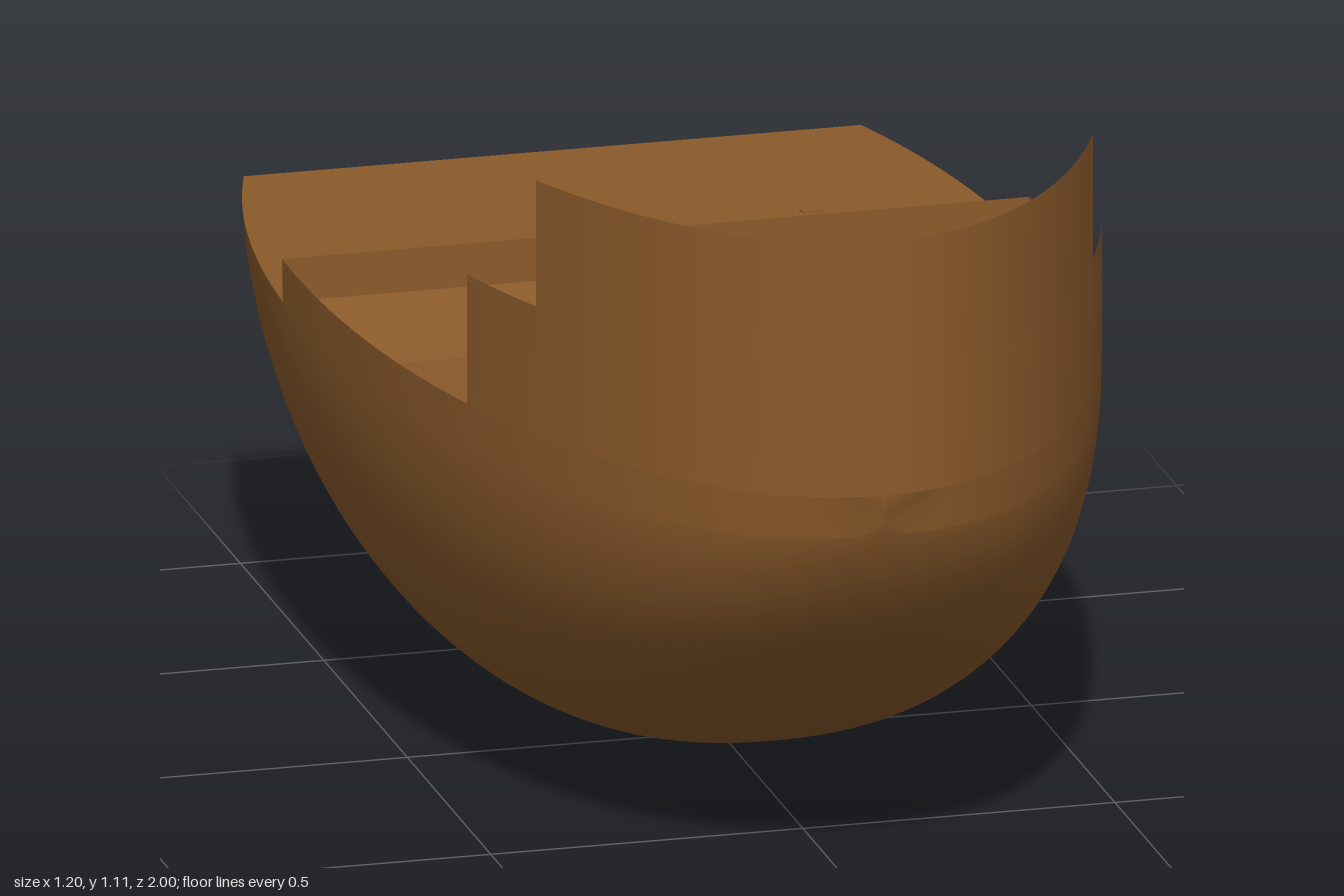
import * as THREE from 'three';

const RIM = 0.705, DECK = 0.635, STEP_Z = -0.38, ROWS = 32, FRONT = 40, REAR = 14;

// Half-width of the rim and depth of the keel at a station z
const rimWidth = z => 0.6 * Math.sqrt(Math.max(0, 1 - ((z + 0.3) / (z > -0.3 ? 1.3 : 1.25)) ** 2));
const depth = z => 0.7 * Math.max(0, 1 - ((z + 0.2) / 1.2) ** 2) ** 0.63;

// Stern profile: z of the transom at height y
const STERN = [[0.14, -0.845], [0.22, -0.855], [0.35, -0.89], [0.51, -1], [0.64, -1]];
function sternZ(y) {
  if (y <= STERN[0][0]) return STERN[0][1];
  for (let i = 1; i < STERN.length; i++) {
    const [y0, z0] = STERN[i - 1], [y1, z1] = STERN[i];
    if (y <= y1) return z0 + (z1 - z0) * (y - y0) / (y1 - y0);
  }
  return -1;
}

// Point on the left half of a section; row 0 is the rim, row 1 deck height, the last row the keel
function sectionPoint(z, row) {
  const d = depth(z), e = 2 / 2.3;
  const t1 = d > 0 ? Math.asin(Math.min(1, (RIM - DECK) / d) ** (1 / e)) : Math.PI / 2;
  const t = row === 0 ? 0 : t1 + (Math.PI / 2 - t1) * (row - 1) / (ROWS - 1);
  return [rimWidth(z) * Math.max(0, Math.cos(t)) ** e, RIM - d * Math.sin(t) ** e, z];
}

// Where a row of the hull meets the transom
function rowEnd(row) {
  let lo = -1, hi = STEP_Z;
  for (let i = 0; i < 40; i++) {
    const mid = (lo + hi) / 2;
    if (mid > sternZ(sectionPoint(mid, row)[1])) hi = mid; else lo = mid;
  }
  return hi;
}

// Surface from a grid of points, with optional skipping of cells
function gridGeometry(grid, skip = () => false) {
  const cols = grid[0].length, index = [];
  for (let i = 0; i < grid.length - 1; i++) {
    for (let j = 0; j < cols - 1; j++) {
      if (skip(i, j)) continue;
      const a = i * cols + j, b = a + cols;
      index.push(a, a + 1, b, b, a + 1, b + 1);
    }
  }
  const g = new THREE.BufferGeometry();
  g.setAttribute('position', new THREE.Float32BufferAttribute(grid.flat(2), 3));
  g.setIndex(index);
  g.computeVertexNormals();
  return g;
}

// Flat-faced sheet joining left points to their mirror images
function crossSheet(points) {
  const g = gridGeometry(points.map(([x, y, z]) => [[-x, y, z], [x, y, z]])).toNonIndexed();
  g.computeVertexNormals();
  return g;
}

export function createModel() {
  const group = new THREE.Group();
  const wood = new THREE.MeshStandardMaterial({ color: 0x8b5a2b, side: THREE.DoubleSide });
  wood.name = 'brown wood';
  const add = (name, geometry) => {
    const mesh = new THREE.Mesh(geometry, wood);
    mesh.name = name;
    group.add(mesh);
    return mesh;
  };

  // Hull shell: stations from bow to stern, rear ones trimmed to the transom
  const ends = Array.from({ length: ROWS + 1 }, (_, r) => rowEnd(r));
  const stations = [];
  for (let i = 0; i <= FRONT + REAR; i++) {
    const half = ends.map((end, r) => {
      const z = i <= FRONT
        ? 1 - (1 - STEP_Z) * (1 - Math.cos(i / FRONT * Math.PI / 2))
        : STEP_Z + (end - STEP_Z) * (i - FRONT) / REAR;
      return sectionPoint(z, r);
    });
    const mirrored = half.slice(0, -1).reverse().map(([x, y, z]) => [-x, y, z]);
    stations.push([...half, ...mirrored]);
  }
  add('hull', gridGeometry(stations, (i, j) => i >= FRONT && (j === 0 || j === 2 * ROWS - 1)));

  // Transom and rear deck
  add('transom', crossSheet(stations[FRONT + REAR].slice(1, ROWS + 1)));
  add('rearDeck', crossSheet(stations.slice(FRONT).map(s => s[1])));

  // Riser at the front edge of the deck
  const w = rimWidth(STEP_Z);
  add('deckRiser', crossSheet([[w, RIM, STEP_Z], [w, DECK, STEP_Z]]));

  // Stepped bow wall following the rim
  const bowWall = (name, zEnd, bottom, top) => {
    const a = Math.acos((zEnd + 0.3) / 1.3), columns = [];
    for (let i = 0; i <= 40; i++) {
      const t = -a + 2 * a * i / 40;
      const x = 0.6 * Math.sin(t), z = -0.3 + 1.3 * Math.cos(t);
      columns.push([[x, top, z], [x, bottom, z]]);
    }
    add(name, gridGeometry(columns));
  };
  bowWall('lowerBowWall', 0.39, RIM, 0.915);
  bowWall('upperBowWall', 0.57, 0.915, 1.12);

  // Small loose sliver above the hold
  add('sliver', new THREE.BoxGeometry(0.035, 0.003, 0.012)).position.set(0.22, 0.75, -0.27);
  return group;
}
